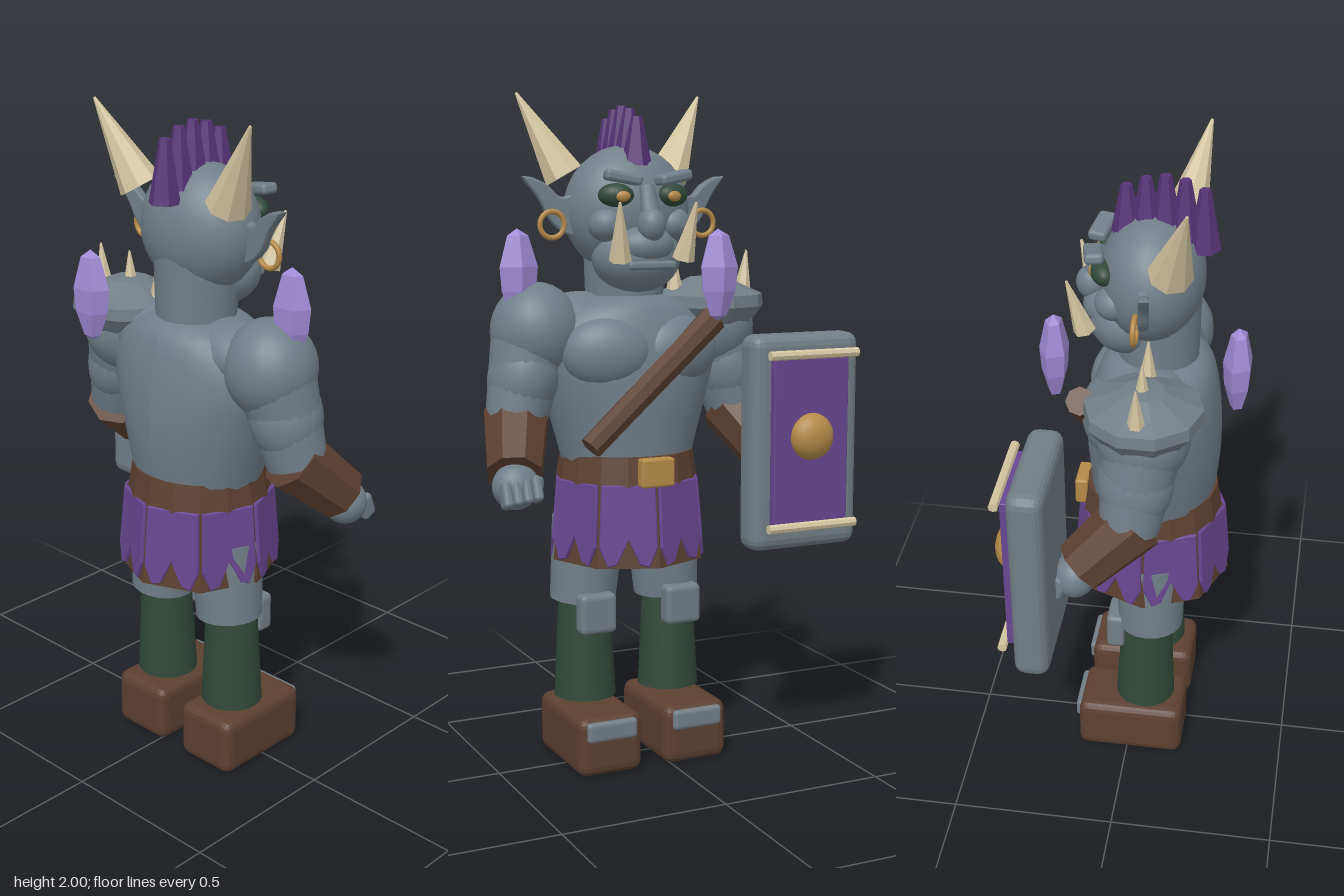
import * as THREE from 'three';
import { RoundedBoxGeometry } from 'three/addons/geometries/RoundedBoxGeometry.js';

const mat = (name, color, flatShading = false) => {
  const m = new THREE.MeshStandardMaterial({ color, flatShading });
  m.name = name;
  return m;
};

export function createModel() {
  const skin = mat('greySkin', 0x717e88);
  const steel = mat('steel', 0x727d85, true);
  const leather = mat('brownLeather', 0x5c4031, true);
  const green = mat('darkGreen', 0x31493a);
  const cloth = mat('purpleCloth', 0x684690, true);
  const hair = mat('purpleHair', 0x573478, true);
  const crystal = mat('lilacCrystal', 0xa08bd6, true);
  const bone = mat('bone', 0xd4c6a2, true);
  const gold = mat('gold', 0xb48a48);

  const root = new THREE.Group();
  const body = new THREE.Group(); // the figure faces -z
  body.name = 'body';
  body.position.x = 0.06;
  root.add(body);

  const V = (p) => new THREE.Vector3(...p);
  const add = (name, geo, m, p = [0, 0, 0], r = [0, 0, 0]) => {
    const mesh = new THREE.Mesh(geo, m);
    mesh.name = name;
    mesh.position.set(...p);
    mesh.rotation.set(...r);
    body.add(mesh);
    return mesh;
  };
  const ball = (name, m, p, s, r) => {
    const mesh = add(name, new THREE.SphereGeometry(1, 24, 16), m, p, r);
    mesh.scale.set(...s);
    return mesh;
  };
  const box = (name, m, p, s, rad, r) => add(name, new RoundedBoxGeometry(...s, 2, rad), m, p, r);
  // tapered rod from a (radius ra) to b (radius rb)
  const rod = (name, m, a, b, ra, rb, seg) => {
    const d = V(b).sub(V(a));
    const mesh = add(name, new THREE.CylinderGeometry(rb, ra, d.length(), seg), m);
    mesh.position.copy(V(a)).addScaledVector(d, 0.5);
    mesh.quaternion.setFromUnitVectors(new THREE.Vector3(0, 1, 0), d.normalize());
    return mesh;
  };
  // smooth body from rings [y, radiusX, radiusZ, centreZ]
  const loft = (name, m, rings) => {
    const n = 28, curve = new THREE.CatmullRomCurve3(rings.map((q) => new THREE.Vector3(q[1], q[0], q[2])));
    const mid = new THREE.CatmullRomCurve3(rings.map((q) => new THREE.Vector3(q[3], q[0], 0)));
    const geo = new THREE.CylinderGeometry(1, 1, 1, n, 20, true);
    const pos = geo.attributes.position;
    for (let i = 0; i < pos.count; i++) {
      const t = pos.getY(i) + 0.5, q = curve.getPoint(t), c = mid.getPoint(t).x;
      pos.setXYZ(i, pos.getX(i) * q.x, q.y, pos.getZ(i) * q.z + c);
    }
    geo.computeVertexNormals();
    return add(name, geo, m);
  };

  // torso and neck
  loft('torso', skin, [[0.88, 0.19, 0.18, 0.05], [0.98, 0.215, 0.19, 0.055], [1.12, 0.255, 0.2, 0.055],
    [1.26, 0.285, 0.19, 0.055], [1.36, 0.23, 0.165, 0.06], [1.41, 0.12, 0.12, 0.06], [1.43, 0.01, 0.01, 0.06]]);
  rod('neck', skin, [0, 1.34, 0.065], [0, 1.6, 0.06], 0.115, 0.125, 24);

  // head
  ball('skull', skin, [0, 1.66, 0.045], [0.193, 0.19, 0.15]);
  ball('jaw', skin, [0, 1.525, -0.025], [0.135, 0.105, 0.115]);
  ball('muzzle', skin, [0, 1.56, -0.08], [0.09, 0.06, 0.075]);
  ball('nose', skin, [0, 1.62, -0.13], [0.04, 0.05, 0.045]);
  rod('noseBridge', skin, [0, 1.62, -0.135], [0, 1.73, -0.1], 0.03, 0.022, 10);
  box('lowerLip', skin, [0, 1.505, -0.137], [0.15, 0.025, 0.025], 0.01);

  // mohawk, a fan of five tapered spikes
  for (let i = 0; i < 5; i++) {
    const t = i / 4;
    rod('mohawkSpike', hair, [0, 1.75 + 0.06 * Math.sin(t * 2.4), 0.188 - 0.215 * t],
      [0, 1.93 + 0.035 * Math.sin(t * Math.PI), 0.185 - 0.215 * t], 0.046, 0.016, 6);
  }

  // ear outline, drawn for the +x side
  const ear = new THREE.Shape();
  ear.moveTo(-0.03, -0.07);
  ear.quadraticCurveTo(0.05, -0.06, 0.08, 0.02);
  ear.quadraticCurveTo(0.1, 0.06, 0.14, 0.1);
  ear.quadraticCurveTo(0.08, 0.09, 0.05, 0.05);
  ear.quadraticCurveTo(0.02, 0.02, -0.03, 0.07);
  const earGeo = new THREE.ExtrudeGeometry(ear, { depth: 0.014, bevelThickness: 0.008, bevelSize: 0.006, bevelSegments: 2, curveSegments: 8 });

  for (const s of [-1, 1]) {
    // face
    ball('eyeSocket', green, [s * 0.09, 1.705, -0.083], [0.052, 0.034, 0.034], [0, s * -0.35, 0]);
    ball('eye', gold, [s * 0.083, 1.702, -0.112], [0.024, 0.016, 0.012], [0, s * -0.3, 0]);
    box('brow', skin, [s * 0.08, 1.755, -0.11], [0.11, 0.032, 0.055], 0.012, [0, s * -0.2, s * 0.18]);
    ball('cheek', skin, [s * 0.105, 1.62, -0.05], [0.055, 0.05, 0.055]);
    rod('tusk', bone, [s * 0.1, 1.52, -0.135], [s * 0.12, 1.685, -0.18], 0.033, 0.004, 6);
    rod('horn', bone, [s * 0.17, 1.76, 0.115], [s * 0.297, 2.0, 0.17], 0.064, 0.004, 8);
    const e = add('ear', earGeo, skin, [s * 0.18, 1.655, 0.035], [0, s > 0 ? -0.15 : Math.PI + 0.15, 0]);
    if (s < 0) e.position.z += 0.014;
    add('earring', new THREE.TorusGeometry(0.038, 0.008, 8, 24), gold, [s * 0.243, 1.62, 0.028]);

    // chest and arms
    ball('pectoral', skin, [s * 0.115, 1.25, -0.07], [0.135, 0.105, 0.075], [0, s * -0.25, 0]);
    ball('trapezius', skin, [s * 0.17, 1.33, 0.07], [0.15, 0.09, 0.11], [0, 0, s * -0.2]);
    ball('shoulder', skin, [s * 0.285, 1.31, 0.06], [0.135, 0.145, 0.135]);
    rod('upperArm', skin, [s * 0.3, 1.3, 0.06], [s * 0.365, 1.04, 0.03], 0.118, 0.088, 20);
    ball('biceps', skin, [s * 0.33, 1.18, 0.045], [0.105, 0.14, 0.11], [0, 0, s * 0.25]);
    rod('bracer', leather, [s * 0.355, 1.06, 0.045], [s * 0.417, 0.92, -0.105], 0.1, 0.083, 8);
    ball('palm', skin, [s * 0.42, 0.89, -0.12], [0.068, 0.068, 0.062]);
    for (let i = 0; i < 4; i++)
      box('finger', skin, [s * (0.375 + i * 0.03), 0.885 - i * 0.004, -0.165], [0.028, 0.075, 0.05], 0.012, [0.4, 0, 0]);
    box('thumb', skin, [s * 0.365, 0.9, -0.13], [0.03, 0.04, 0.08], 0.012);

    // legs
    rod('thigh', skin, [s * 0.14, 0.49, 0.065], [s * 0.12, 0.74, 0.06], 0.1, 0.112, 20);
    rod('shin', green, [s * 0.14, 0.195, 0.05], [s * 0.14, 0.55, 0.055], 0.094, 0.076, 20);
    box('kneePad', steel, [s * 0.14, 0.468, -0.04], [0.115, 0.12, 0.058], 0.015);
    box('boot', leather, [s * 0.14, 0.09, 0.01], [0.205, 0.18, 0.335], 0.03);
    box('toeCap', steel, [s * 0.14, 0.138, -0.148], [0.16, 0.06, 0.04], 0.012);
  }

  // belt and buckle
  add('belt', new THREE.CylinderGeometry(0.2, 0.214, 0.085, 16), leather, [0, 0.905, 0.05]);
  box('buckle', gold, [0, 0.905, -0.165], [0.105, 0.085, 0.04], 0.008);

  // skirt with eight notched cloth panels
  add('skirt', new THREE.CylinderGeometry(0.218, 0.24, 0.245, 8), leather, [0, 0.745, 0.05]);
  const flap = new THREE.Shape([[-0.077, 0.12], [-0.083, -0.06], [-0.06, -0.115], [-0.035, -0.108],
    [0, -0.035], [0.035, -0.108], [0.06, -0.115], [0.083, -0.06], [0.077, 0.12]].map((q) => new THREE.Vector2(...q)));
  const flapGeo = new THREE.ExtrudeGeometry(flap, { depth: 0.006, bevelThickness: 0.004, bevelSize: 0.003, bevelSegments: 1 });
  for (let i = 0; i < 8; i++) {
    const a = (i + 0.5) * Math.PI / 4;
    const p = add('skirtPanel', flapGeo, cloth, [Math.sin(a) * 0.212, 0.745, 0.05 + Math.cos(a) * 0.212]);
    p.rotation.set(-0.083, a, 0, 'YXZ');
  }

  // strap across the chest
  rod('chestStrap', leather, [-0.2, 1.345, -0.135], [0.205, 0.99, -0.16], 0.042, 0.036, 8);

  // pauldron with three spikes
  const pads = [[0, 0.14], [0.06, 0.135], [0.12, 0.105], [0.168, 0.085], [0.172, 0.05], [0.135, 0.0], [0, 0]];
  add('pauldron', new THREE.LatheGeometry(pads.map((q) => new THREE.Vector2(...q)).reverse(), 10), steel, [-0.28, 1.32, 0.06]);
  for (const k of [-1, 0, 1])
    rod('pauldronSpike', bone, [-0.28 + k * 0.115, 1.4, 0.055], [-0.285 + k * 0.125, 1.535, 0.055], 0.029, 0.003, 6);

  // shield
  box('shield', steel, [-0.445, 0.978, -0.218], [0.36, 0.645, 0.105], 0.035);
  box('shieldPanel', cloth, [-0.445, 0.988, -0.28], [0.25, 0.51, 0.03], 0.004);
  for (const y of [0.733, 1.245])
    rod('shieldBar', bone, [-0.592, y, -0.306], [-0.297, y, -0.306], 0.014, 0.014, 8);
  ball('shieldBoss', gold, [-0.445, 1.0, -0.295], [0.07, 0.07, 0.047]);

  // floating crystals
  const gem = [[0, 1.345], [0.028, 1.36], [0.055, 1.43], [0.062, 1.5], [0.034, 1.59], [0, 1.61]];
  const gemGeo = new THREE.LatheGeometry(gem.map((q) => new THREE.Vector2(...q)), 5);
  for (const [x, z] of [[-0.175, -0.208], [-0.175, 0.308], [0.345, 0.047]])
    add('crystal', gemGeo, crystal, [x, 0, z], [0, Math.PI, 0]).scale.z = 0.7;

  return root;
}
